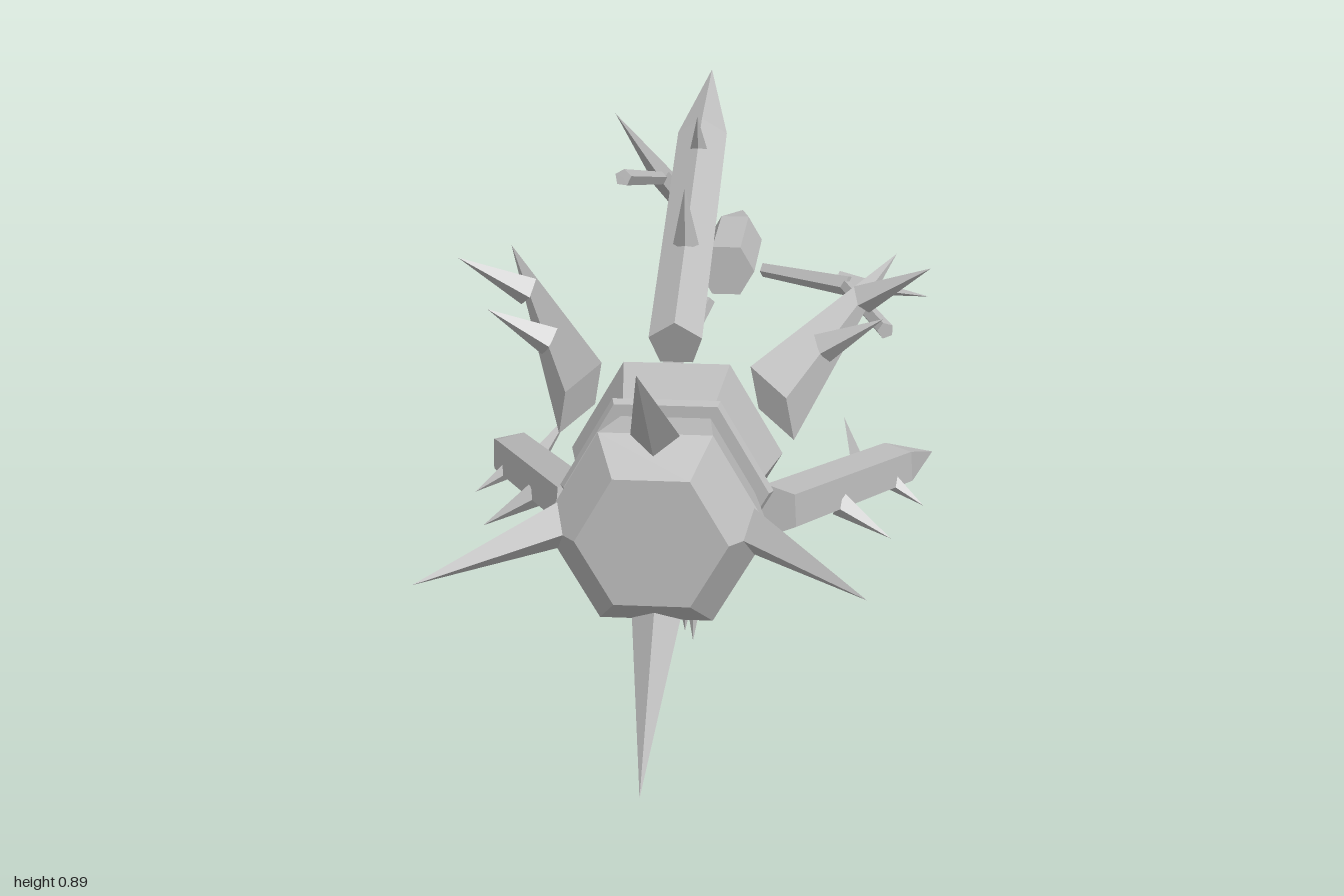
import * as THREE from 'three';

const AXIS_Y = 0.437;
const metal = new THREE.MeshStandardMaterial({ color: 0xbdbdbd, flatShading: true });
metal.name = 'grey metal';

// Faceted bar between two [radial, z] points; profile lists [radius, fraction along].
// The first corner points outward; squash thins the bar in the radial direction.
function bar(parent, name, from, to, profile, sides, squash = 1) {
  const a = new THREE.Vector3(from[0], 0, from[1]);
  const d = new THREE.Vector3(to[0], 0, to[1]).sub(a);
  const length = d.length();
  d.normalize();
  const side = new THREE.Vector3(0, 1, 0);
  const points = profile.map(([r, t]) => new THREE.Vector2(r, t * length));
  const geometry = new THREE.LatheGeometry(points, sides, Math.PI / 2, Math.PI * 2);
  geometry.scale(squash, 1, 1);
  const out = new THREE.Vector3().crossVectors(d, side);
  geometry.applyMatrix4(new THREE.Matrix4().makeBasis(out, d, side).setPosition(a));
  const mesh = new THREE.Mesh(geometry, metal);
  mesh.name = name;
  parent.add(mesh);
}

const cone = (r) => [[0, 0], [r, 0], [0, 1]];
const rod = (r0, r1) => [[0, 0], [r0, 0], [r1, 1], [0, 1]];

// Repeats a part around the long axis at the given angles in degrees.
function around(root, name, angles, build) {
  for (const angle of angles) {
    const group = new THREE.Group();
    group.name = name;
    group.rotation.z = THREE.MathUtils.degToRad(angle);
    build(group);
    root.add(group);
  }
}

export function createModel() {
  const model = new THREE.Group();
  const root = new THREE.Group();
  root.name = 'assembly';
  root.position.y = AXIS_Y;
  model.add(root);

  // Waisted hexagonal hub with a thin collar
  bar(root, 'hub', [0, 0.385], [0, 0.825],
    [[0, 0], [0.107, 0], [0.16, 0.14], [0.127, 0.5], [0.16, 0.86], [0.107, 1], [0, 1]], 6);
  bar(root, 'collar', [0, 0.594], [0, 0.618],
    [[0.11, 0], [0.15, 0], [0.156, 0.5], [0.15, 1], [0.11, 1]], 6);

  // Four spikes splayed forward
  around(root, 'frontSpike', [0, 90, 180, 270], (g) => {
    bar(g, 'spike', [0.13, 0.755], [0.3, 0.995], cone(0.036), 4);
  });

  // Three heavy pointed arms with thorns
  around(root, 'heavyArm', [90, 210, 330], (g) => {
    bar(g, 'blade', [0.173, 0.463], [0.453, -0.205],
      [[0, 0], [0.042, 0], [0.042, 0.72], [0, 1]], 5);
    bar(g, 'largeThorn', [0.28, 0.29], [0.375, 0.31], cone(0.02), 4);
    bar(g, 'smallThorn', [0.375, 0.06], [0.435, 0.085], cone(0.014), 4);
    bar(g, 'innerThorn', [0.307, 0.06], [0.274, -0.12], cone(0.014), 4);
  });

  // Three flat tapering arms with thorns
  around(root, 'flatArm', [30, 150, 270], (g) => {
    bar(g, 'taper', [0.167, 0.46], [0.372, -0.022], cone(0.066), 4, 0.4);
    bar(g, 'thorn', [0.245, 0.305], [0.354, 0.32], cone(0.025), 4);
    bar(g, 'thorn', [0.31, 0.145], [0.436, 0.175], cone(0.025), 4);
  });

  // Separate tail dagger with three jointed fingers reaching forward
  bar(root, 'tailDagger', [0, -0.545], [0, -1],
    [[0, 0], [0.053, 0], [0.053, 0.5], [0, 1]], 6);
  around(root, 'finger', [0, 120, 240], (g) => {
    bar(g, 'lowerSegment', [0.07, -0.56], [0.235, -0.465], rod(0.014, 0.02), 5);
    bar(g, 'upperSegment', [0.225, -0.47], [0.305, -0.19], rod(0.012, 0.015), 5);
    bar(g, 'elbowSpike', [0.215, -0.485], [0.38, -0.405], cone(0.022), 4);
  });

  return model;
}
